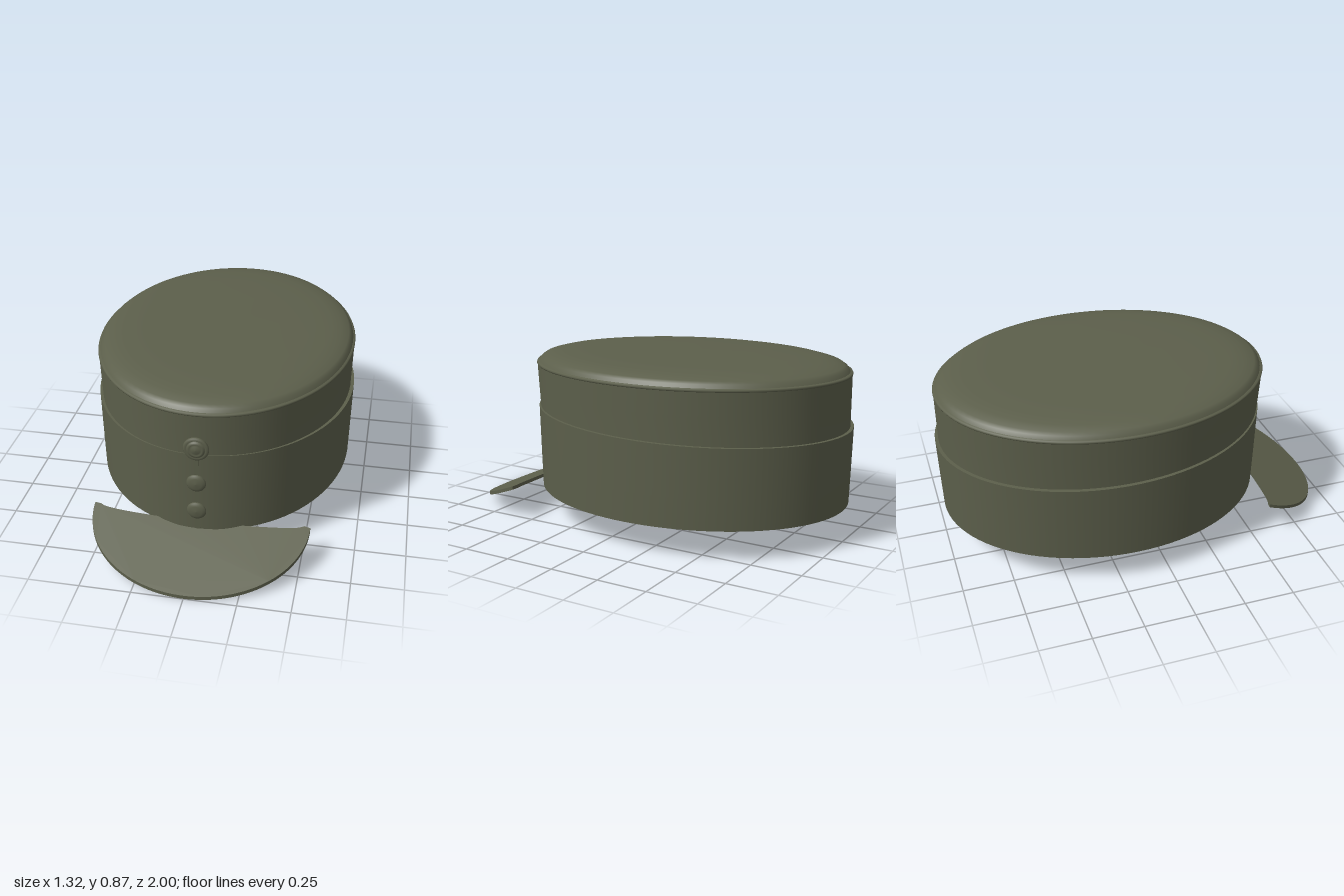
import * as THREE from 'three';

const SEG = 96;

// Oval ring surface: profile points are [scale, y], stretched to an oval of half sizes rx, rz
function oval(profile, rx, rz, cz) {
  const g = new THREE.LatheGeometry(profile.map(([r, y]) => new THREE.Vector2(r, y)), SEG);
  g.scale(rx, 1, rz);
  g.translate(0, 0, cz);
  return g;
}

// Small round fitting that faces the front
function fitting(profile) {
  const g = new THREE.LatheGeometry(profile.map(([r, y]) => new THREE.Vector2(r, y)), 32);
  g.rotateX(Math.PI / 2);
  return g;
}

export function createModel() {
  const group = new THREE.Group();
  const cloth = new THREE.MeshStandardMaterial({ color: 0x5c5f4b });
  cloth.name = 'olive cloth';

  const add = (name, geometry, x = 0, y = 0, z = 0) => {
    const mesh = new THREE.Mesh(geometry, cloth);
    mesh.name = name;
    mesh.position.set(x, y, z);
    group.add(mesh);
    return mesh;
  };

  // Crown wall, leaning slightly forward towards the top
  const wall = oval([[0.99, 0.45], [0.991, 0.55], [0.996, 0.68], [1, 0.79]], 0.65, 0.831, -0.16);
  const wp = wall.attributes.position;
  for (let i = 0; i < wp.count; i++) {
    wp.setZ(i, wp.getZ(i) + 0.008 * THREE.MathUtils.smoothstep(wp.getY(i), 0.55, 0.79));
  }
  add('crownWall', wall);

  // Piping around the top seam
  add('crownPiping', oval([[0.985, 0.788], [1, 0.79], [1.004, 0.796], [1, 0.803], [0.98, 0.806]],
    0.65, 0.831, -0.152));

  // Softly domed lid
  add('crownTop', oval([[0.988, 0.803], [0.972, 0.822], [0.95, 0.834], [0.89, 0.846], [0.81, 0.855],
    [0.66, 0.86], [0.4, 0.863], [0, 0.865]], 0.65, 0.831, -0.152));

  // Turned-up band, highest at the front
  const bandRise = (g) => {
    const p = g.attributes.position;
    for (let i = 0; i < p.count; i++) {
      const c = (p.getZ(i) + 0.165) / 0.835;
      const top = 0.551 + 0.022 * c + 0.006 * c * c;
      p.setY(i, 0.15 + (p.getY(i) - 0.15) * (top - 0.15) / 0.4);
    }
    return g;
  };
  add('band', bandRise(oval([[0.988, 0.15], [0.993, 0.3], [1, 0.55]], 0.662, 0.835, -0.165)));
  add('bandTopEdge', bandRise(oval([[1, 0.55], [0.965, 0.55]], 0.662, 0.835, -0.165)));

  // Lower hem and closed underside
  add('hem', oval([[0.968, 0.15], [0.988, 0.15]], 0.662, 0.835, -0.165));
  add('underside', oval([[0, 0.153], [0.97, 0.153]], 0.662, 0.835, -0.165));

  // Front closing strip and its two buttons
  const strip = add('frontStrip', new THREE.BoxGeometry(0.024, 0.42, 0.012), 0, 0.363, 0.663);
  strip.rotation.x = 0.02;
  for (const y of [0.43, 0.273]) {
    add('button', fitting([[0, -0.014], [0.03, -0.012], [0.044, -0.005], [0.047, 0],
      [0.043, 0.006], [0.028, 0.012], [0, 0.015]]), 0, y, 0.682);
  }

  // Round cockade with stepped rings
  add('cockade', fitting([[0.056, -0.015], [0.062, 0], [0.058, 0.007], [0.046, 0.009], [0.043, 0.005],
    [0.04, 0.012], [0.03, 0.015], [0.025, 0.01], [0.021, 0.016], [0, 0.018]]), 0, 0.614, 0.673);

  // Visor: crescent plate sloping down to the front
  const crescent = new THREE.Shape();
  crescent.moveTo(0.535, 0.58);
  crescent.absellipse(0, 0.59, 0.535, 0.408, 0, Math.PI, false, 0);
  crescent.lineTo(-0.535, 0.58);
  crescent.lineTo(-0.505, 0.583);
  crescent.splineThru([[-0.47, 0.596], [-0.38, 0.607], [-0.2, 0.617], [0, 0.62], [0.2, 0.617],
    [0.38, 0.607], [0.47, 0.596], [0.505, 0.583]].map(([x, z]) => new THREE.Vector2(x, z)));
  const visor = new THREE.ExtrudeGeometry(crescent, { depth: 0.018, bevelEnabled: false, curveSegments: 40 });
  visor.rotateX(Math.PI / 2);
  const vp = visor.attributes.position;
  for (let i = 0; i < vp.count; i++) {
    vp.setY(i, vp.getY(i) + 0.177 - (vp.getZ(i) - 0.58) * 0.381);
  }
  visor.computeVertexNormals();
  add('visor', visor);

  return group;
}
